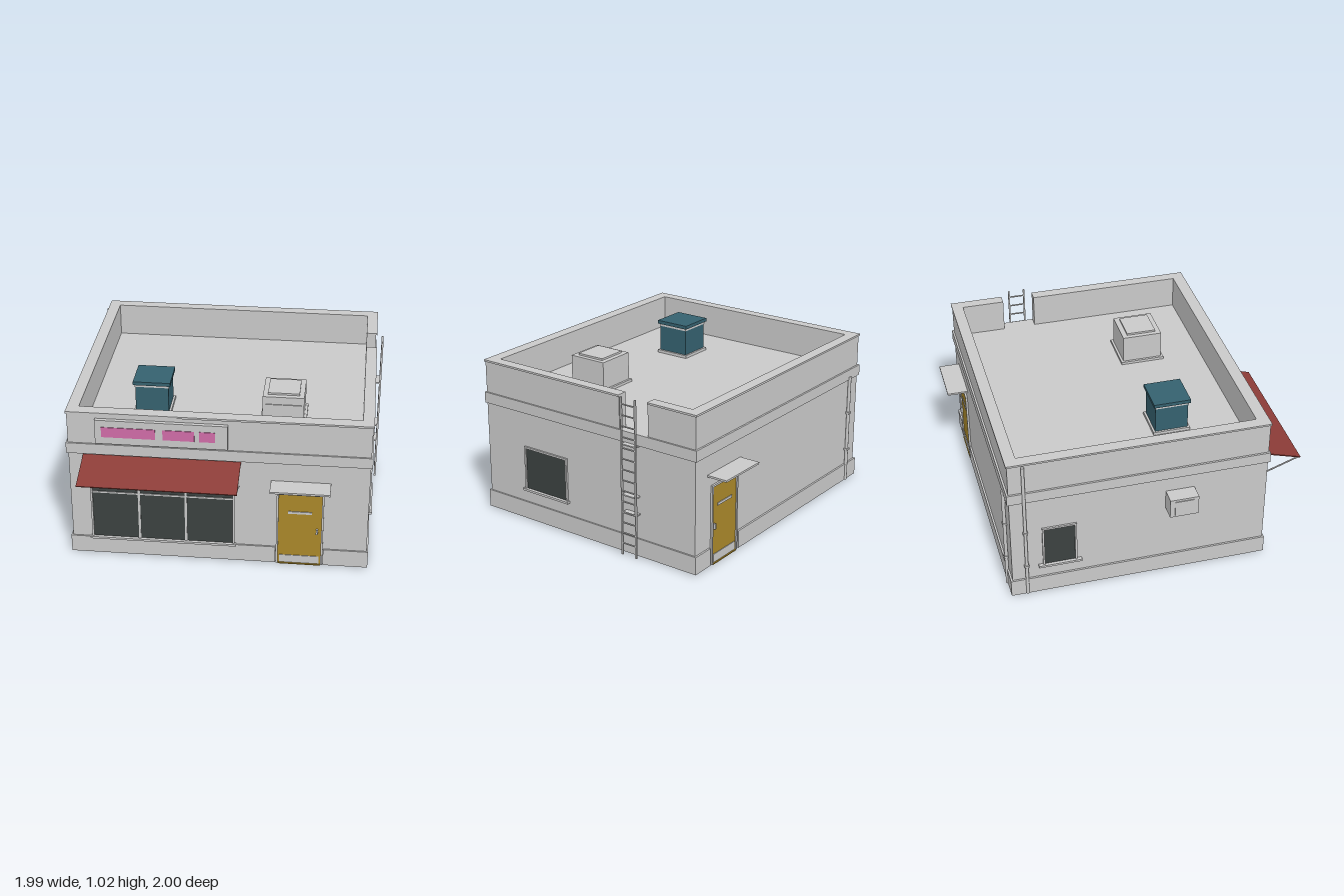
import * as THREE from 'three';

const mat = (name, color) => {
  const m = new THREE.MeshStandardMaterial({ color });
  m.name = name;
  return m;
};

export function createModel() {
  const grey = mat('paleGrey', 0xc9c9c9);
  const glass = mat('darkGlass', 0x3b4140);
  const gold = mat('goldDoor', 0xaa882a);
  const red = mat('awningRed', 0x8c3c37);
  const teal = mat('tealMetal', 0x35616f);
  const pink = mat('signPink', 0xd06ca8);

  const model = new THREE.Group();
  model.name = 'shop';

  // Box given by its minimum and maximum corners
  const box = (parent, name, m, x0, x1, y0, y1, z0, z1) => {
    const mesh = new THREE.Mesh(new THREE.BoxGeometry(x1 - x0, y1 - y0, z1 - z0), m);
    mesh.position.set((x0 + x1) / 2, (y0 + y1) / 2, (z0 + z1) / 2);
    mesh.name = name;
    parent.add(mesh);
    return mesh;
  };
  // Round bar between two points
  const bar = (parent, name, m, a, b, r, sides = 8) => {
    const p = new THREE.Vector3(...a), q = new THREE.Vector3(...b);
    const mesh = new THREE.Mesh(new THREE.CylinderGeometry(r, r, p.distanceTo(q), sides), m);
    mesh.position.copy(p).add(q).multiplyScalar(0.5);
    mesh.quaternion.setFromUnitVectors(new THREE.Vector3(0, 1, 0), q.sub(p).normalize());
    mesh.name = name;
    parent.add(mesh);
  };
  const group = (name, x = 0, y = 0, z = 0, turn = 0) => {
    const g = new THREE.Group();
    g.name = name;
    g.position.set(x, y, z);
    g.rotation.y = turn;
    model.add(g);
    return g;
  };

  const L = -0.895, R = 0.942, B = -0.865, F = 0.747, roof = 0.787;

  // Body, floor and raised bands
  box(model, 'floorPlate', glass, -0.84, 0.885, 0, 0.008, -0.8, 0.685);
  box(model, 'walls', grey, L, R, 0.006, roof, B, F);
  box(model, 'stringCourse', grey, L - 0.012, R + 0.01, 0.72, 0.79, B - 0.012, F + 0.01);

  // Plinth, interrupted at both doors
  const doors = [{ x: 0.526, z: F, s: 1 }, { x: 0.655, z: B, s: -1 }];
  for (const d of doors) {
    const z0 = d.s > 0 ? F - 0.02 : B - 0.012, z1 = d.s > 0 ? F + 0.01 : B + 0.02;
    box(model, 'plinth', grey, L - 0.012, d.x - 0.148, 0.006, 0.12, z0, z1);
    box(model, 'plinth', grey, d.x + 0.148, R + 0.01, 0.006, 0.12, z0, z1);
  }
  box(model, 'plinth', grey, L - 0.012, L + 0.02, 0.006, 0.12, B, F);
  box(model, 'plinth', grey, R - 0.02, R + 0.01, 0.006, 0.12, B, F);

  // Parapet with an opening for the ladder, each run capped by a coping
  const parapets = [
    [L, R, 0.677, F], [L, R, B, -0.8], [L, -0.83, -0.8, 0.677],
    [0.88, R, -0.8, -0.525], [0.88, R, -0.315, 0.677],
  ];
  for (const [x0, x1, z0, z1] of parapets) {
    box(model, 'parapet', grey, x0, x1, roof - 0.01, 0.992, z0, z1);
    const e = 0.007;
    box(model, 'coping', grey, x0 === L ? x0 - e : x0, x1 === R ? x1 + e : x1, 0.992, 1.004,
      z0 === B ? z0 - e : z0, z1 === F ? z1 + e : z1);
  }

  // Windows: origin at the middle of the sill on the wall, facing local +z
  const makeWindow = (name, x, y, z, turn, w, h, sill, mullions, transom) => {
    const g = group(name, x, y, z, turn), f = 0.012, d = 0.012;
    box(g, 'pane', glass, -w / 2, w / 2, 0, h, -0.002, 0.004);
    for (const s of [-1, 1]) {
      const c = s * (w / 2 + f / 2);
      box(g, 'frameSide', grey, c - f / 2, c + f / 2, 0, h, -0.005, d);
    }
    box(g, 'frameTop', grey, -w / 2 - f, w / 2 + f, h, h + f, -0.005, d);
    box(g, 'sill', grey, -sill / 2, sill / 2, -0.014, 0, -0.005, 0.024);
    for (const m of mullions) box(g, 'mullion', grey, m - 0.007, m + 0.007, 0, h, 0, 0.009);
    if (transom) box(g, 'transom', grey, -w / 2, w / 2, transom - 0.005, transom + 0.005, 0, 0.009);
  };
  makeWindow('shopWindow', -0.324, 0.128, F, 0, 0.87, 0.492, 0.915, [-0.145, 0.145], 0.322);
  makeWindow('leftSideWindow', R, 0.215, 0.268, Math.PI / 2, 0.32, 0.27, 0.365, [], 0);
  makeWindow('rightSideWindow', L, 0.215, -0.565, -Math.PI / 2, 0.19, 0.27, 0.27, [], 0);

  // Doors, front and back, with canopy and lamp
  for (const { x, z, s } of doors) {
    const g = group(s > 0 ? 'frontDoor' : 'backDoor', x, 0, z);
    const part = (name, m, x0, x1, y0, y1, d0, d1) =>
      box(g, name, m, x0, x1, y0, y1, Math.min(s * d0, s * d1), Math.max(s * d0, s * d1));
    const w = s > 0 ? 0.133 : 0.122;
    part('doorLeaf', gold, -w, w, 0.008, 0.505, -0.01, 0.005);
    for (const k of [-1, 1]) part('doorJamb', grey, k * (w + 0.006) - 0.006, k * (w + 0.006) + 0.006, 0.006, 0.505, -0.01, 0.013);
    part('doorHead', grey, -w - 0.012, w + 0.012, 0.505, 0.517, -0.01, 0.013);
    part('threshold', gold, -w, w, 0.002, 0.009, -0.01, 0.014);
    part('kickPlate', grey, -w + 0.01, w - 0.01, 0.012, 0.065, 0, 0.009);
    part('letterSlot', grey, -0.073, 0.073, 0.37, 0.386, 0, 0.01);
    part('handle', grey, 0.1, 0.112, 0.232, 0.266, 0, 0.02);
    part('lamp', grey, -0.08, 0.08, 0.545, 0.56, -0.005, 0.025);
    const cw = s > 0 ? 0.182 : 0.17;
    part('canopy', grey, -cw, cw, 0.583, 0.595, -0.005, 0.134);
  }

  // Awning: sloping sheet on two struts
  const awning = group('awning');
  const slope = new THREE.Shape([[0.745, 0.705], [0.998, 0.63], [1, 0.636], [0.747, 0.713]]
    .map(([z, y]) => new THREE.Vector2(-z, y)).reverse());
  const sheet = new THREE.Mesh(new THREE.ExtrudeGeometry(slope, { depth: 0.965, bevelEnabled: false }), red);
  sheet.rotation.y = Math.PI / 2;
  sheet.position.x = -0.805;
  sheet.name = 'awningSheet';
  awning.add(sheet);
  for (const x of [-0.793, 0.147]) bar(awning, 'awningStrut', grey, [x, 0.54, F], [x, 0.631, 0.992], 0.005);

  // Sign board with coloured panels
  box(model, 'signBoard', grey, -0.722, 0.082, 0.805, 0.965, F, 0.772);
  for (const [x0, x1] of [[-0.682, -0.355], [-0.31, -0.118], [-0.088, 0.007]])
    box(model, 'signPanel', pink, x0, x1, 0.853, 0.92, 0.772, 0.776);

  // Teal roof unit
  const tank = group('tealRoofUnit', -0.437, roof, 0.237);
  box(tank, 'unitBase', grey, -0.117, 0.117, 0, 0.022, -0.117, 0.117);
  box(tank, 'unitBody', teal, -0.104, 0.104, 0.022, 0.19, -0.104, 0.104);
  box(tank, 'unitCollar', grey, -0.108, 0.108, 0.19, 0.206, -0.108, 0.108);
  box(tank, 'unitLid', teal, -0.117, 0.117, 0.206, 0.229, -0.117, 0.117);

  // Grey roof unit
  const vent = group('greyRoofUnit', 0.388, roof, 0.278);
  box(vent, 'unitBase', grey, -0.143, 0.143, 0, 0.02, -0.143, 0.143);
  box(vent, 'unitBody', grey, -0.128, 0.128, 0.02, 0.198, -0.128, 0.128);
  box(vent, 'unitTopPanel', grey, -0.098, 0.098, 0.198, 0.21, -0.095, 0.095);
  box(vent, 'unitSlot', grey, -0.11, 0.11, 0.14, 0.148, 0.128, 0.134);

  // Wall box on the right side
  box(model, 'wallUnit', grey, -0.995, L, 0.492, 0.62, 0.1, 0.28);
  box(model, 'wallUnitGrille', grey, -1, -0.995, 0.506, 0.606, 0.13, 0.25);

  // Ladder with wall brackets
  const ladder = group('ladder');
  for (const z of [-0.362, -0.465]) box(ladder, 'ladderRail', grey, 0.978, 0.99, 0.004, 1.015, z - 0.005, z + 0.005);
  for (let i = 0; i < 14; i++) {
    const y = 0.08 + i * 0.0685;
    bar(ladder, 'ladderRung', grey, [0.984, y, -0.465], [0.984, y, -0.362], 0.005);
  }
  for (const y of [0.28, 0.395, 0.718])
    box(ladder, 'ladderBracket', grey, R, 0.984, y - 0.004, y + 0.004, -0.465, -0.362);

  // Downpipes near the back right corner
  bar(model, 'backDownpipe', grey, [-0.782, 0.008, B - 0.012], [-0.782, 0.74, B - 0.012], 0.011, 12);
  bar(model, 'sideDownpipe', grey, [L - 0.011, 0.008, -0.775], [L - 0.011, 0.985, -0.775], 0.01, 12);
  for (const y of [0.22, 0.48]) {
    box(model, 'pipeClip', grey, -0.797, -0.767, y, y + 0.014, B - 0.026, B);
    box(model, 'pipeClip', grey, L - 0.024, L, y, y + 0.014, -0.79, -0.76);
  }
  return model;
}
